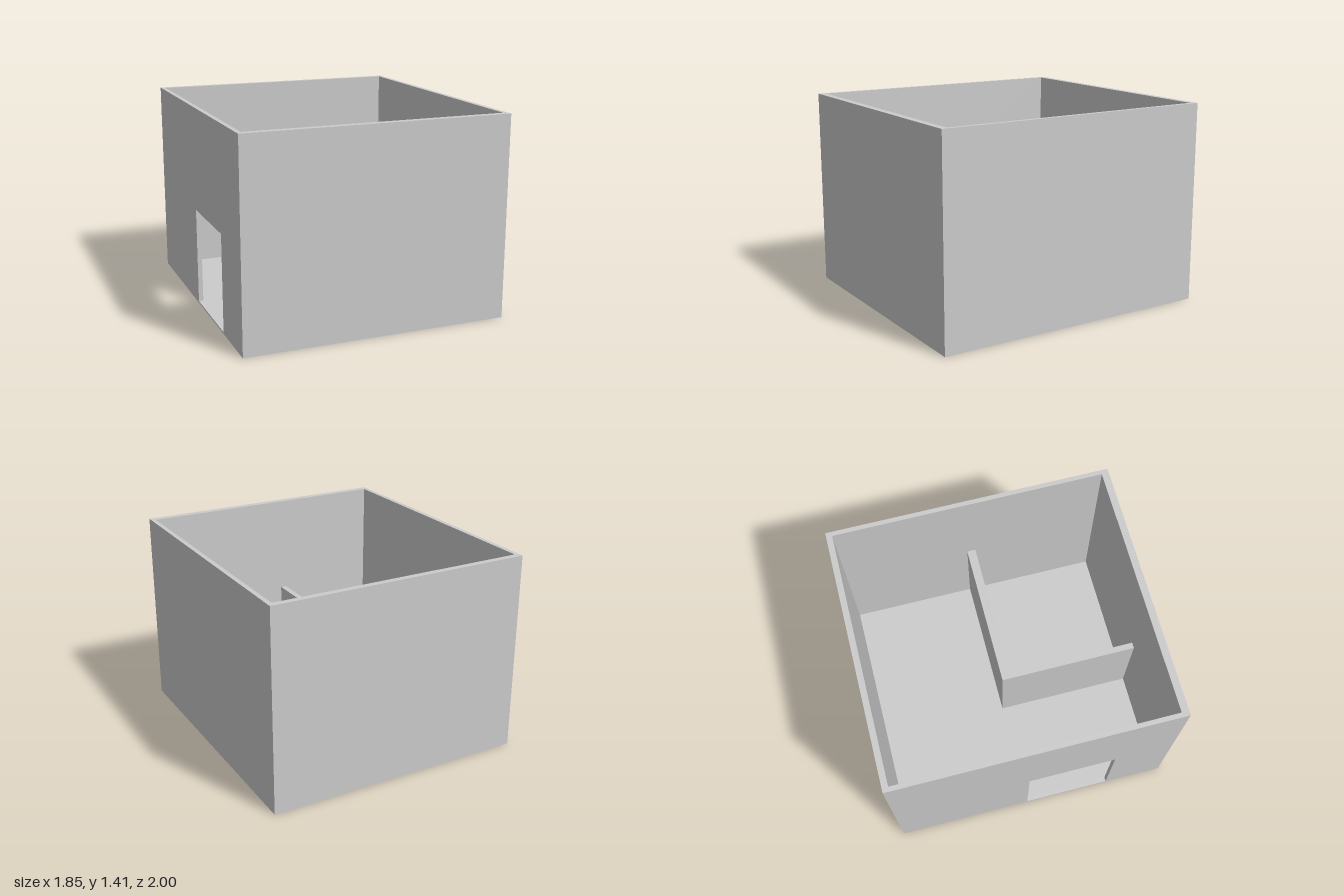
import * as THREE from 'three';

const W = 0.925, H = 1.41, D = 1;            // outer half width, height, half depth
const IX = 0.893, BACK = -0.958, FRONT = 0.95; // inner faces of the walls
const FLOOR = 0.012, STOREY = 0.7;

export function createModel() {
  const group = new THREE.Group();
  const material = new THREE.MeshStandardMaterial({ color: 0xcccccc, flatShading: true });

  const add = (name, geometry) => {
    const mesh = new THREE.Mesh(geometry, material);
    mesh.name = name;
    group.add(mesh);
    return mesh;
  };

  // box given by its lower and upper corner
  const box = (name, [x0, y0, z0], [x1, y1, z1]) =>
    add(name, new THREE.BoxGeometry(x1 - x0, y1 - y0, z1 - z0))
      .position.set((x0 + x1) / 2, (y0 + y1) / 2, (z0 + z1) / 2);

  // floor and the three closed outer walls
  box('floor', [-IX, 0, BACK], [IX, FLOOR, FRONT]);
  box('frontWall', [-W, 0, FRONT], [W, H, D]);
  box('backWall', [-W, 0, -D], [W, H, BACK]);
  box('leftWall', [IX, 0, BACK], [W, H, FRONT]);

  // side wall with the doorway, drawn in z and y, extruded outwards along -x
  const rect = (Type, z0, y0, z1, y1) => new Type([
    new THREE.Vector2(z0, y0), new THREE.Vector2(z1, y0),
    new THREE.Vector2(z1, y1), new THREE.Vector2(z0, y1),
  ]);
  const wall = rect(THREE.Shape, BACK, 0, FRONT, H);
  wall.holes.push(rect(THREE.Path, -0.04, FLOOR, 0.58, 0.685));
  const doorWall = new THREE.ExtrudeGeometry(wall, { depth: W - IX, bevelEnabled: false });
  doorWall.rotateY(-Math.PI / 2);
  add('doorWall', doorWall).position.x = -IX;

  // one-storey partitions closing off the corner room
  box('crossPartition', [-0.165, FLOOR, -0.037], [IX, STOREY, 0.025]);
  box('lengthPartition', [-0.165, FLOOR, 0.025], [-0.122, STOREY, FRONT]);

  return group;
}
